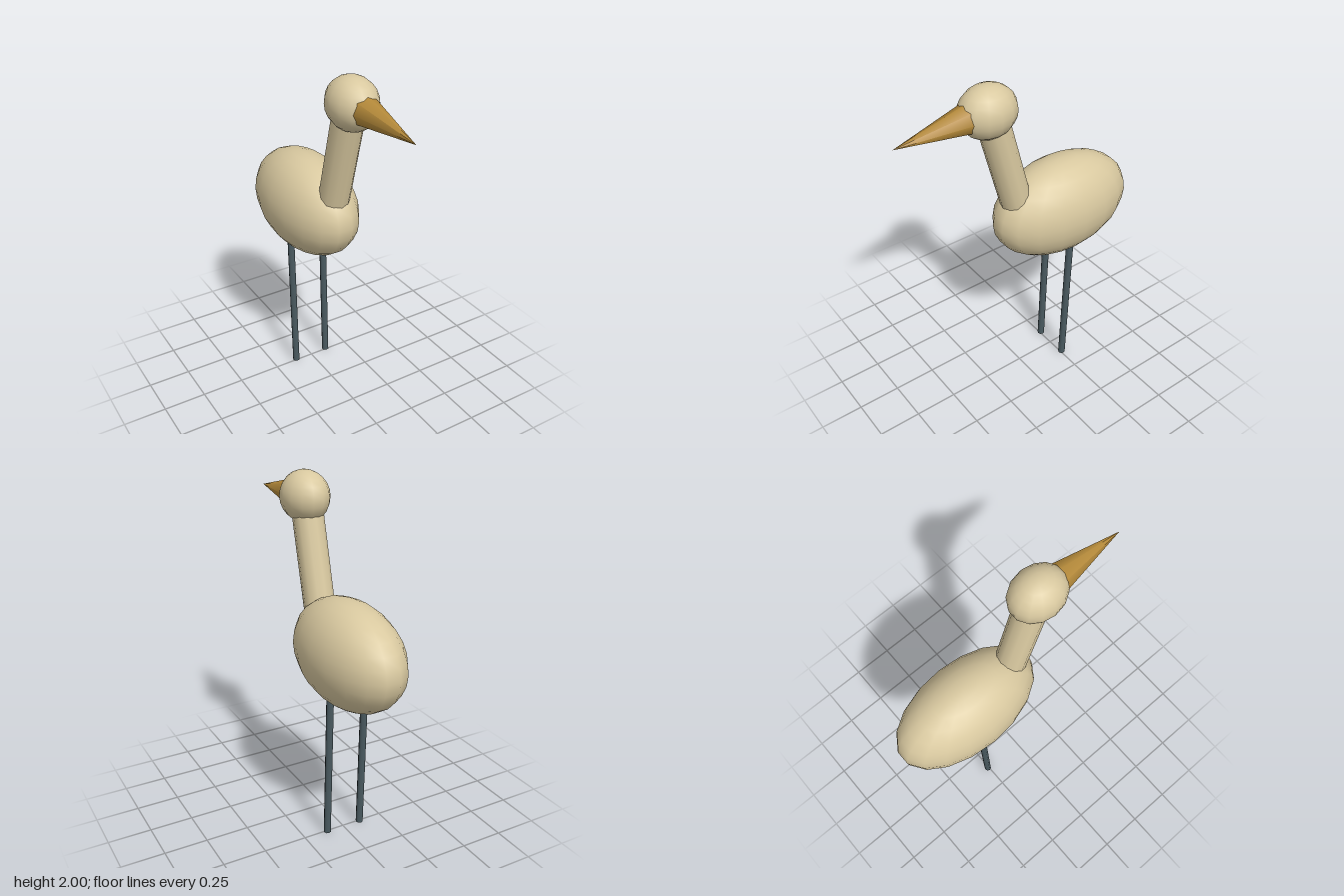
import * as THREE from 'three';

const material = (name, color) => {
  const m = new THREE.MeshStandardMaterial({ color });
  m.name = name;
  return m;
};

export function createModel() {
  const bird = new THREE.Group();
  bird.name = 'wadingBird';
  const plumage = material('plumage', 0xd9c9a0);
  const horn = material('beakHorn', 0xb58a3a);
  const legSkin = material('legSkin', 0x4a5a60);

  const add = (name, geometry, mat) => {
    const mesh = new THREE.Mesh(geometry, mat);
    mesh.name = name;
    bird.add(mesh);
    return mesh;
  };

  // Smooth egg-shaped volume from a stretched sphere
  const ellipsoid = (name, y, z, radii, cols, rows) => {
    const mesh = add(name, new THREE.SphereGeometry(1, cols, rows), plumage);
    mesh.position.set(0, y, z);
    mesh.scale.set(...radii);
  };

  // Round rod running from one point to another
  const rod = (name, from, to, r0, r1, sides, mat) => {
    const a = new THREE.Vector3(...from);
    const b = new THREE.Vector3(...to);
    const axis = b.clone().sub(a);
    const mesh = add(name, new THREE.CylinderGeometry(r1, r0, axis.length(), sides), mat);
    mesh.position.copy(a).add(b).multiplyScalar(0.5);
    mesh.quaternion.setFromUnitVectors(new THREE.Vector3(0, 1, 0), axis.normalize());
  };

  ellipsoid('body', 1.111, -0.287, [0.24, 0.295, 0.444], 18, 14);
  ellipsoid('head', 1.857, 0.194, [0.133, 0.143, 0.163], 14, 12);
  rod('neck', [0, 1.2, 0.011], [0, 1.8, 0.17], 0.087, 0.087, 12, plumage);
  rod('beak', [0, 1.856, 0.27], [0, 1.83, 0.725], 0.088, 0, 8, horn);

  // Slightly raked legs
  for (const [name, side] of [['leftLeg', 1], ['rightLeg', -1]]) {
    rod(name, [side * 0.108, 0.001, -0.257], [side * 0.108, 0.88, -0.284], 0.021, 0.021, 8, legSkin);
  }

  return bird;
}
